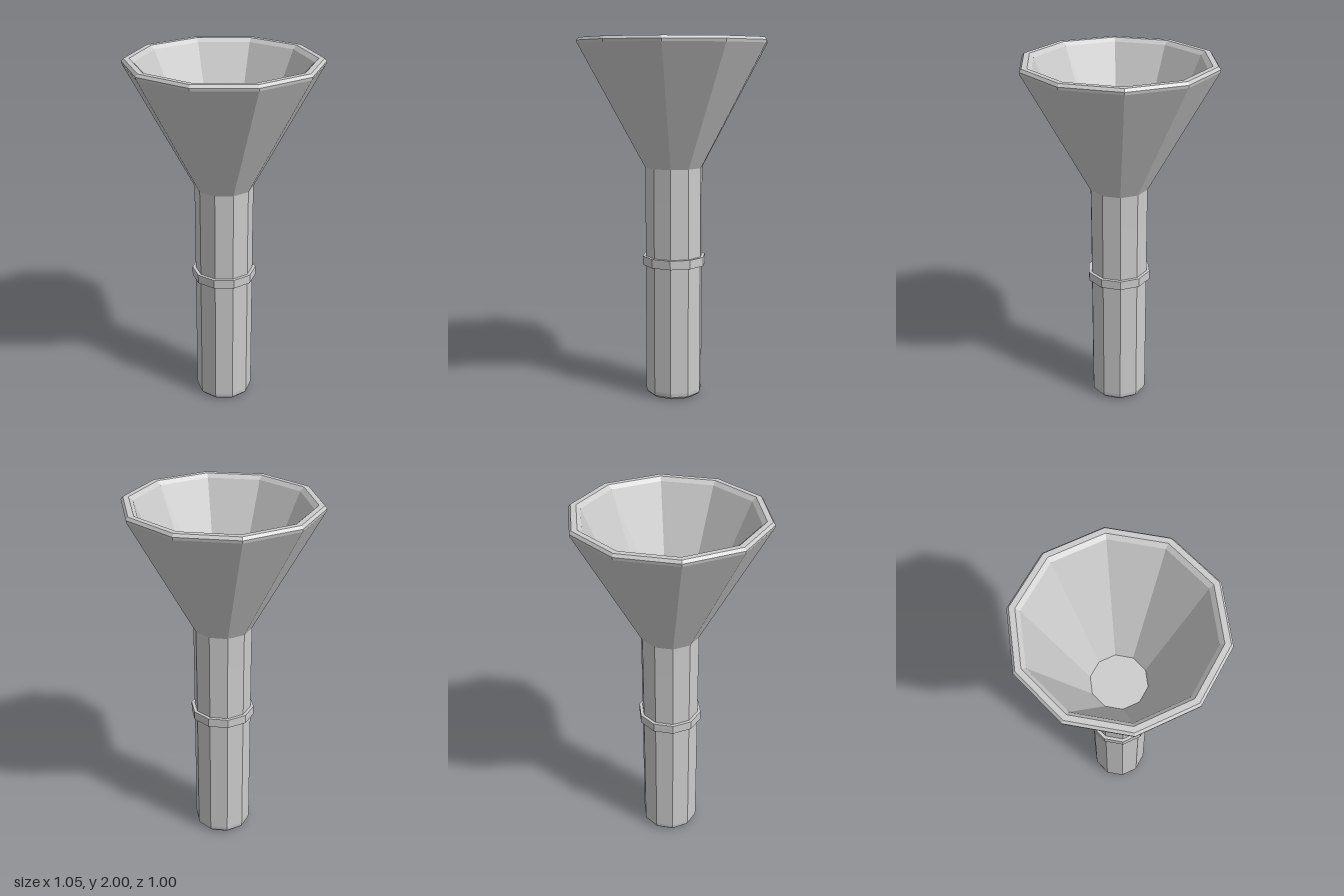
import * as THREE from 'three';

const SIDES = 10;

// Ten-sided turned part; corners lie on the x axis
function turned(name, profile, material) {
  const points = profile.map(([r, y]) => new THREE.Vector2(r, y));
  const mesh = new THREE.Mesh(new THREE.LatheGeometry(points, SIDES, Math.PI / 2), material);
  mesh.name = name;
  return mesh;
}

export function createModel() {
  const group = new THREE.Group();
  group.name = 'funnelTorch';
  const grey = new THREE.MeshStandardMaterial({ color: 0xcccccc, flatShading: true });

  // Handle: hollow lower end, rounded foot, slight flare near the cup
  group.add(turned('handle', [
    [0, 1.1], [0.105, 1.1], [0.105, 0.025], [0.115, 0.005],
    [0.13, 0], [0.145, 0.005], [0.157, 0.018], [0.16, 0.04],
    [0.16, 1.12], [0.161, 1.3],
  ], grey));

  // Cup: flaring wall, softened rim, inner cone and flat floor
  group.add(turned('cup', [
    [0.161, 1.3], [0.524, 1.97], [0.527, 1.985], [0.515, 2],
    [0.485, 2], [0.463, 1.98], [0.155, 1.3], [0, 1.3],
  ], grey));

  // Collar: narrow raised band around the handle
  group.add(turned('collar', [
    [0.155, 0.755], [0.178, 0.755], [0.178, 0.805], [0.155, 0.805],
  ], grey));

  return group;
}
